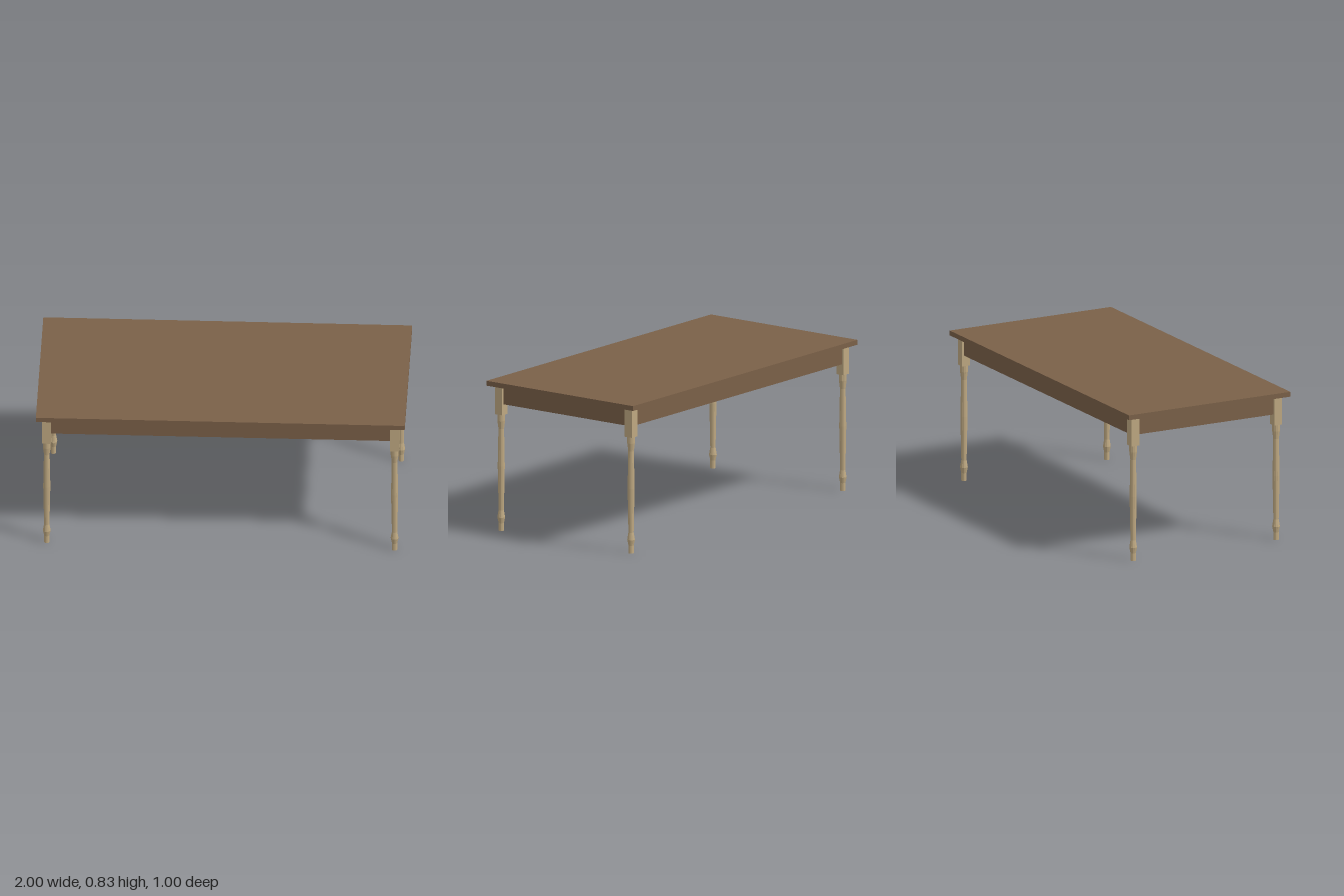
import * as THREE from 'three';

export function createModel() {
  const darkWood = new THREE.MeshStandardMaterial({ color: 0x7a6048 });
  darkWood.name = 'darkWood';
  const paleWood = new THREE.MeshStandardMaterial({ color: 0xbea881 });
  paleWood.name = 'paleWood';
  paleWood.flatShading = true;

  const table = new THREE.Group();
  table.name = 'table';

  const add = (parent, name, geometry, material, x, y, z) => {
    const mesh = new THREE.Mesh(geometry, material);
    mesh.name = name;
    mesh.position.set(x, y, z);
    parent.add(mesh);
    return mesh;
  };
  const box = (w, h, d) => new THREE.BoxGeometry(w, h, d);

  const legX = 0.943, legZ = 0.443, block = 0.049;
  const underTop = 0.808, apronHeight = 0.1, apronThickness = 0.028;
  const apronY = underTop - apronHeight / 2;

  // Table top
  add(table, 'tableTop', box(2, 0.027, 1), darkWood, 0, underTop + 0.0135, 0);

  // Aprons running between the leg blocks
  for (const s of [1, -1]) {
    add(table, s > 0 ? 'frontApron' : 'backApron',
      box(2 * legX - block, apronHeight, apronThickness), darkWood, 0, apronY, s * legZ);
    add(table, s > 0 ? 'leftApron' : 'rightApron',
      box(apronThickness, apronHeight, 2 * legZ - block), darkWood, s * legX, apronY, 0);
  }

  // Turned leg profile, from the foot up to the square block
  const profile = [
    [0, 0], [0.0148, 0], [0.0148, 0.043], [0.0212, 0.075], [0.0145, 0.115],
    [0.0195, 0.36], [0.0155, 0.567], [0.0212, 0.612], [0.0212, 0.648], [0, 0.648],
  ].map(([r, y]) => new THREE.Vector2(r, y));
  const turning = new THREE.LatheGeometry(profile, 12);
  const blockHeight = underTop - 0.648;

  // Four legs
  for (const sx of [1, -1]) {
    for (const sz of [1, -1]) {
      const leg = new THREE.Group();
      leg.name = (sz > 0 ? 'front' : 'back') + (sx > 0 ? 'Left' : 'Right') + 'Leg';
      leg.position.set(sx * legX, 0, sz * legZ);
      add(leg, 'turnedLeg', turning, paleWood, 0, 0, 0);
      add(leg, 'legBlock', box(block, blockHeight, block), paleWood, 0, 0.648 + blockHeight / 2, 0);
      table.add(leg);
    }
  }
  return table;
}
